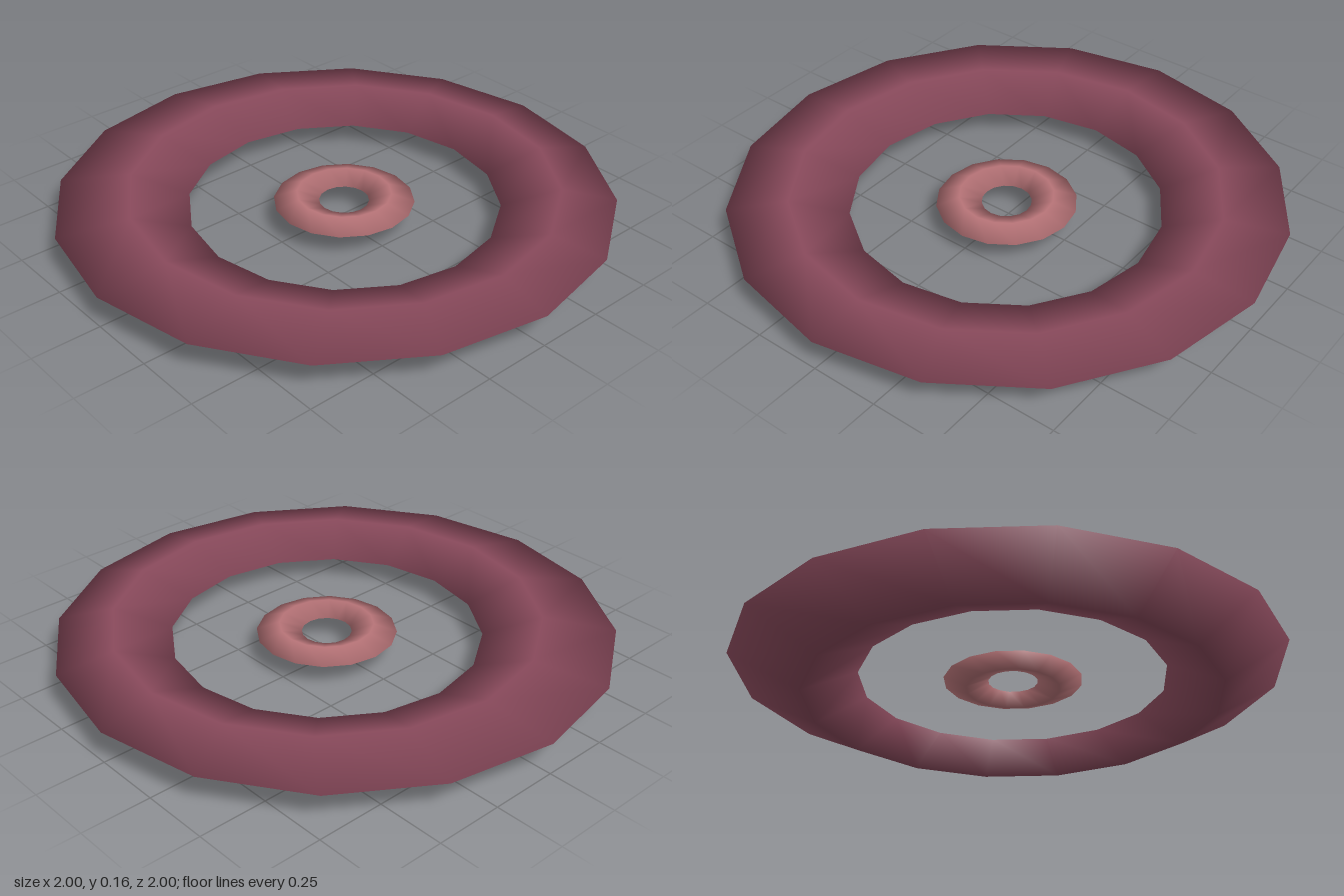
import * as THREE from 'three';
import { mergeVertices } from 'three/addons/utils/BufferGeometryUtils.js';

const SIDES = 16;
const CENTRE = { x: 0.03, z: -0.015 };

// Closed ring with a four-point section, given as [radius, y] from the bottom outward and up
function ring(name, section, color, rimRadius = Infinity) {
  const points = [...section, section[0]].map(([r, y]) => new THREE.Vector2(r, y));
  let geometry = new THREE.LatheGeometry(points, SIDES);
  geometry.deleteAttribute('uv');
  geometry.deleteAttribute('normal');
  geometry = mergeVertices(geometry, 1e-4);

  // Everything but the outermost rim sits slightly off centre
  const pos = geometry.attributes.position;
  for (let i = 0; i < pos.count; i++) {
    const x = pos.getX(i), z = pos.getZ(i);
    if (Math.hypot(x, z) < rimRadius) {
      pos.setX(i, x + CENTRE.x);
      pos.setZ(i, z + CENTRE.z);
    }
  }
  geometry.computeVertexNormals();

  const mesh = new THREE.Mesh(geometry, new THREE.MeshStandardMaterial({ color }));
  mesh.name = name;
  return mesh;
}

export function createModel() {
  const model = new THREE.Group();
  model.name = 'concentricRings';

  // Wide outer ring with a sharp rim
  model.add(ring('outerRing', [[0.76, 0], [1, 0.115], [0.77, 0.157], [0.56, 0.083]], 0x8a4a5c, 0.95));

  // Small ring floating in the middle
  model.add(ring('innerRing', [[0.17, 0.053], [0.253, 0.085], [0.17, 0.115], [0.09, 0.083]], 0xb87478));

  return model;
}
